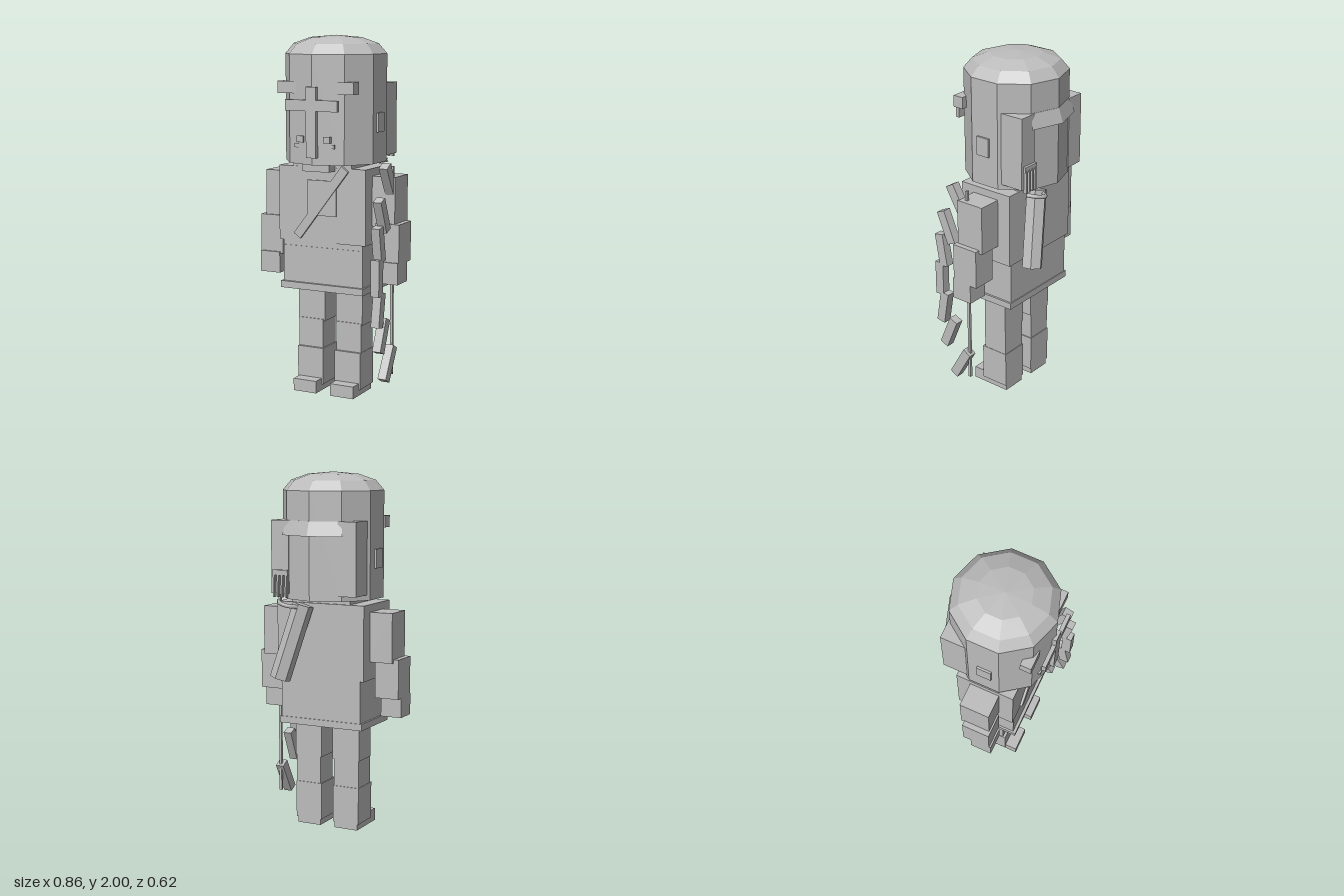
import * as THREE from 'three';

export function createModel() {
  const root = new THREE.Group();
  const grey = new THREE.MeshStandardMaterial({ color: 0xbcbcbc });
  grey.name = 'plain grey';

  function add(name, geo) {
    const mesh = new THREE.Mesh(geo, grey);
    mesh.name = name;
    root.add(mesh);
    return mesh;
  }
  // Box given by its extents on each axis
  function box(name, x0, x1, y0, y1, z0, z1) {
    const m = add(name, new THREE.BoxGeometry(x1 - x0, y1 - y0, z1 - z0));
    m.position.set((x0 + x1) / 2, (y0 + y1) / 2, (z0 + z1) / 2);
    return m;
  }
  // The same box on both sides
  function pair(name, x0, x1, ...rest) {
    box(name + 'Left', x0, x1, ...rest);
    box(name + 'Right', -x1, -x0, ...rest);
  }
  // Faceted revolved form, ten sides to a full turn
  function facetedLathe(name, profile, sides, start, sweep) {
    const pts = profile.map(([r, y]) => new THREE.Vector2(r, y));
    const g = new THREE.LatheGeometry(pts, sides, start, sweep).toNonIndexed();
    g.computeVertexNormals();
    const m = add(name, g);
    m.position.z = 0.013;
    return m;
  }

  // Head: ten-sided helmet with a domed crown
  facetedLathe('head', [[0, 1.31], [0.283, 1.31], [0.283, 1.9], [0.236, 1.955], [0.142, 1.988], [0, 2]], 10, 0, Math.PI * 2);
  // Flared rim at the back of the head
  facetedLathe('backRim', [[0.26, 1.67], [0.312, 1.66], [0.285, 1.74], [0.26, 1.74], [0.26, 1.67]], 2, Math.PI * 0.8, Math.PI * 0.4);
  pair('sidePanel', 0.15, 0.258, 1.34, 1.74, -0.228, -0.09);
  pair('ear', 0.24, 0.281, 1.48, 1.585, -0.02, 0.06);

  // Face: cross guard, brows and small studs
  box('noseGuard', -0.03, 0.03, 1.35, 1.73, 0.25, 0.31);
  box('browGuard', -0.157, 0.157, 1.6, 1.66, 0.288, 0.31);
  pair('brow', 0.12, 0.23, 1.69, 1.755, 0.198, 0.26);
  pair('cheekStud', 0.06, 0.1, 1.43, 1.465, 0.24, 0.285);
  pair('chinStud', 0.095, 0.12, 1.4, 1.422, 0.23, 0.27);
  box('chin', -0.08, 0.08, 1.27, 1.32, 0.15, 0.255);

  // Trunk and skirt
  box('neck', -0.18, 0.18, 1.28, 1.32, -0.14, 0.18);
  box('chest', -0.268, 0.265, 0.87, 1.287, -0.15, 0.182);
  box('waist', -0.245, 0.245, 0.83, 0.875, -0.145, 0.175);
  box('skirt', -0.245, 0.245, 0.6, 0.84, -0.143, 0.178);
  box('hem', -0.256, 0.256, 0.597, 0.635, -0.148, 0.195);
  box('chestPlate', -0.09, 0.09, 1.02, 1.215, 0.18, 0.19);

  // Diagonal strap across the chest
  function strap(name, x0, y0, x1, y1, z) {
    const m = add(name, new THREE.BoxGeometry(0.05, Math.hypot(x1 - x0, y1 - y0), 0.02));
    m.position.set((x0 + x1) / 2, (y0 + y1) / 2, z);
    m.rotation.z = -Math.atan2(x1 - x0, y1 - y0);
  }
  strap('chestStrap', -0.15, 0.9, 0.145, 1.285, 0.186);

  // Arms
  pair('upperArm', 0.26, 0.4, 0.97, 1.245, -0.07, 0.1);
  pair('forearm', 0.29, 0.43, 0.77, 0.99, -0.05, 0.11);
  pair('hand', 0.305, 0.428, 0.66, 0.78, -0.005, 0.12);

  // Legs
  pair('thigh', 0.035, 0.2, 0.4, 0.61, -0.062, 0.085);
  pair('knee', 0.043, 0.195, 0.24, 0.41, -0.06, 0.09);
  pair('calf', 0.037, 0.197, 0.035, 0.245, -0.064, 0.105);
  pair('foot', 0.045, 0.188, 0, 0.07, -0.06, 0.175);

  // Bow: stepped blocks mirrored above and below the grip, with a string
  const gripY = 0.72;
  box('bowGrip', 0.343, 0.392, 0.62, 0.82, 0.225, 0.28);
  const limbs = [[0.18, 0.235, 0.19, 0.17], [0.33, 0.195, 0.19, 0.4], [0.505, 0.112, 0.2, 0.52]];
  for (const [dy, z, length, tilt] of limbs) {
    for (const s of [1, -1]) {
      const m = add(s > 0 ? 'upperBowLimb' : 'lowerBowLimb', new THREE.BoxGeometry(0.049, length, 0.055));
      m.position.set(0.3675, gripY + s * dy, z);
      m.rotation.x = s * tilt;
    }
  }
  box('bowString', 0.36, 0.375, 0.14, 1.3, 0.05, 0.065);

  // Quiver slung across the back
  const top = new THREE.Vector3(0.08, 1.28, -0.19);
  const bottom = new THREE.Vector3(0.195, 0.87, -0.25);
  const axis = top.clone().sub(bottom);
  const prism = new THREE.CylinderGeometry(0.058, 0.058, axis.length(), 6).toNonIndexed();
  prism.computeVertexNormals();
  const quiver = add('quiver', prism);
  quiver.position.copy(top).add(bottom).multiplyScalar(0.5);
  quiver.quaternion.setFromUnitVectors(new THREE.Vector3(0, 1, 0), axis.normalize());

  // Curved carrying loop and the row of shafts above it
  const loop = new THREE.CatmullRomCurve3([[0.08, 1.27, -0.23], [0.13, 1.28, -0.285], [0.18, 1.29, -0.27], [0.215, 1.3, -0.225]]
    .map(p => new THREE.Vector3(...p)));
  add('quiverLoop', new THREE.TubeGeometry(loop, 8, 0.012, 5));
  for (let i = 0; i < 4; i++) {
    const x = 0.155 + i * 0.025;
    box('arrowShaft', x, x + 0.01, 1.32, 1.45, -0.245, -0.225);
  }
  box('shaftBand', 0.15, 0.245, 1.44, 1.47, -0.243, -0.225);

  return root;
}
